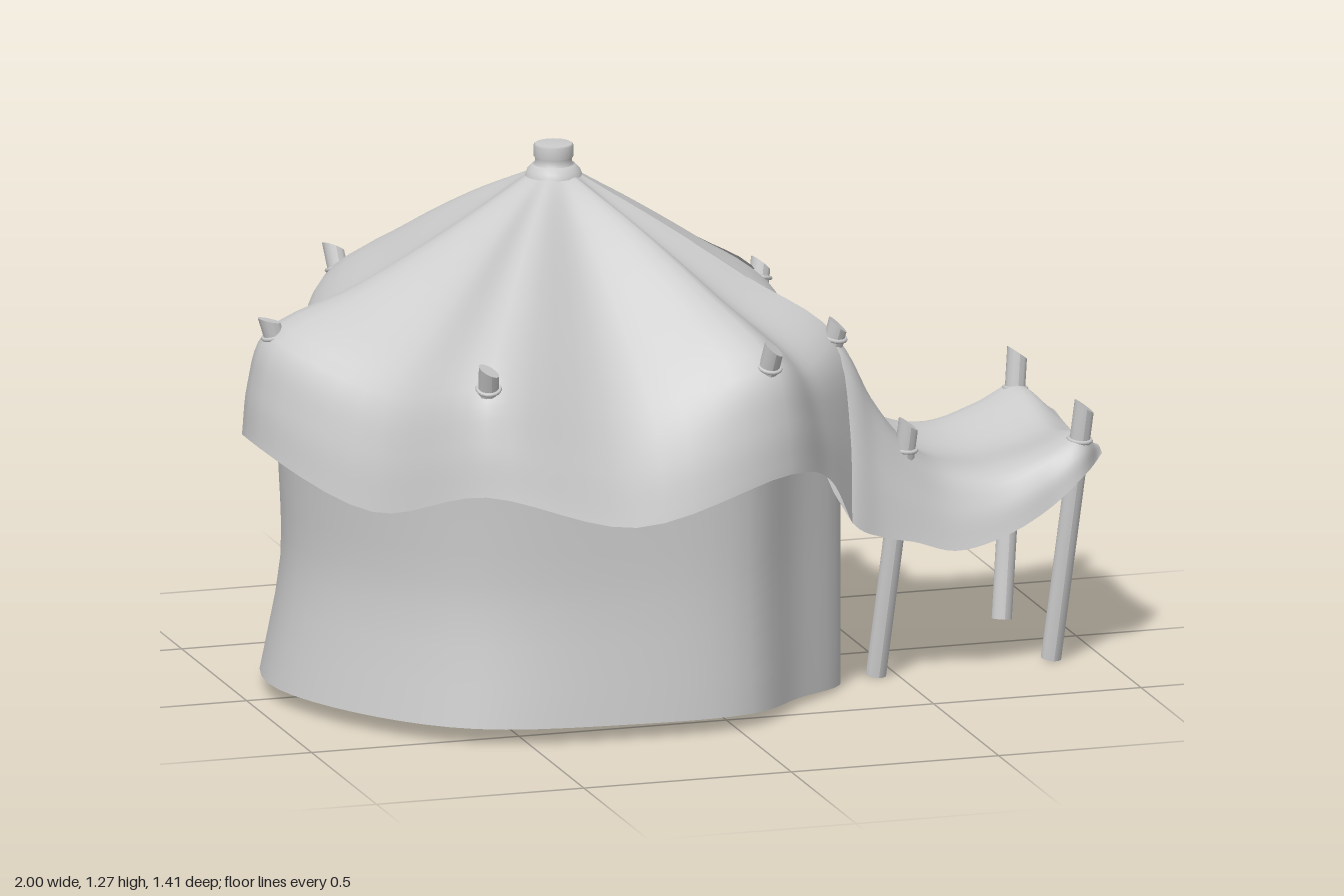
import * as THREE from 'three';

const V = (x, y, z) => new THREE.Vector3(x, y, z);
const flip = (p) => V(p.x, p.y, -p.z);
const cloth = new THREE.MeshStandardMaterial({ color: 0xcccccc, side: THREE.DoubleSide });
const CX = -0.26; // x of the tent's centre axis

// Smooth surface through rows of points; each row is a curve, and the rows are joined by curves
function loft(rows, stepU, stepV) {
  const nu = (rows.length - 1) * stepU;
  const nv = (rows[0].length - 1) * stepV;
  const lines = rows.map((r) => new THREE.CatmullRomCurve3(r).getPoints(nv));
  const pos = [], index = [];
  for (let j = 0; j <= nv; j++) {
    const across = new THREE.CatmullRomCurve3(lines.map((l) => l[j]));
    for (const p of across.getPoints(nu)) pos.push(p.x, p.y, p.z);
  }
  const w = nu + 1;
  for (let j = 0; j < nv; j++) {
    for (let i = 0; i < nu; i++) {
      const a = j * w + i, b = a + 1, c = a + w, d = c + 1;
      index.push(a, c, b, b, c, d);
    }
  }
  const g = new THREE.BufferGeometry();
  g.setAttribute('position', new THREE.Float32BufferAttribute(pos, 3));
  g.setIndex(index);
  g.computeVertexNormals();
  return g;
}

// Rows given from the back round one side, completed with the mirrored side
const bothSides = (rows) => [...rows.slice(1).reverse().map((r) => r.map(flip)), ...rows];

// Round pole between two points with a slanted cut at the top
function poleGeometry(from, to, radius) {
  const len = from.distanceTo(to);
  const g = new THREE.CylinderGeometry(radius, radius, len, 12);
  const p = g.attributes.position;
  for (let i = 0; i < p.count; i++) {
    if (p.getY(i) > 0) p.setY(i, p.getY(i) - 0.6 * (p.getX(i) + radius));
  }
  g.computeVertexNormals();
  g.applyQuaternion(new THREE.Quaternion().setFromUnitVectors(V(0, 1, 0), to.clone().sub(from).normalize()));
  const mid = from.clone().lerp(to, 0.5);
  return g.translate(mid.x, mid.y, mid.z);
}

export function createModel() {
  const group = new THREE.Group();
  const add = (name, geometry) => {
    const m = new THREE.Mesh(geometry, cloth);
    m.name = name;
    group.add(m);
    return m;
  };

  // Spokes from back to entrance: shoulder xyz, hem xyz, lift of the roof between apex and shoulder
  const spokes = [
    [-0.95, 0.86, 0, -1.0, 0.62, 0, -0.02],
    [-0.76, 0.78, 0.32, -0.815, 0.525, 0.385, 0],
    [-0.6, 0.85, 0.585, -0.625, 0.61, 0.65, 0.025],
    [-0.26, 0.76, 0.56, -0.28, 0.525, 0.705, 0.02],
    [0.09, 0.85, 0.585, 0.12, 0.6, 0.62, 0.025],
    [0.21, 0.8, 0.44, 0.26, 0.54, 0.47, 0],
    [0.33, 0.83, 0.29, 0.34, 0.41, 0.385, 0.01],
  ];
  const roofPoint = ([x, y, z, , , , lift], t) => {
    const p = V(CX, 1.2, 0).addScaledVector(V(x - CX, 0, z).normalize(), 0.05).lerp(V(x, y, z), t);
    p.y += lift * Math.sin(Math.PI * t);
    return p;
  };
  const spokeRow = (s) => {
    const hem = V(s[3], s[4], s[5]);
    const mid = roofPoint(s, 1).lerp(hem, 0.5).addScaledVector(V(s[0] - CX, 0, s[2]).normalize(), 0.014);
    return [...[0, 0.33, 0.66, 1].map((t) => roofPoint(s, t)), mid, hem];
  };
  const rows = spokes.map(spokeRow);
  add('roof', loft(bothSides(rows), 6, 5));

  // Entrance panel: from the apex down a shallow valley, its edges tucked under the roof
  const section = (half, centre) => [...half, centre, ...half.slice().reverse().map(flip)];
  const valley = [0.36, 0.72, 0, 0, 0, 0, -0.015];
  const panel = [0, 0.33, 0.66].map((t) => {
    const edge = roofPoint(spokes[6], t), beside = roofPoint(spokes[5], t);
    const tuck = (k) => edge.clone().lerp(beside, k).add(V(0, -0.1 * k, 0));
    return section([tuck(0.3), tuck(0.15), edge], roofPoint(valley, t));
  });
  const [shoulder, mid, hem] = rows[6].slice(3);
  panel.push(section([hem, mid, shoulder], roofPoint(valley, 1)));

  // Porch sections: x, centre y, shoulder z and y, hem z and y
  const porch = [
    [0.42, 0.64, 0.285, 0.67, 0.365, 0.365],
    [0.5, 0.55, 0.28, 0.56, 0.355, 0.345],
    [0.6, 0.48, 0.265, 0.485, 0.35, 0.315],
    [0.72, 0.455, 0.26, 0.465, 0.335, 0.335],
    [0.84, 0.47, 0.26, 0.5, 0.315, 0.39],
    [0.93, 0.5, 0.25, 0.54, 0.3, 0.46],
    [1.0, 0.475, 0.12, 0.485, 0.2, 0.48],
  ].map(([x, yc, zs, ys, zh, yh]) => section(
    [V(x, yh, zh), V(x, (ys + yh) / 2 + 0.01, (zs + zh) / 2 + 0.012), V(x, ys, zs)], V(x, yc, 0)));
  add('porchCanopy', loft([...panel, ...porch].reverse(), 5, 5));

  // Side wall, open at the entrance: x, z and bottom y of each fold; the waist fades towards the front
  const wall = [
    [-0.95, 0, 0.035], [-0.84, 0.32, 0.035], [-0.62, 0.55, 0.035], [-0.26, 0.61, 0.033],
    [0.04, 0.58, 0.028], [0.2, 0.42, 0.014], [0.34, 0.29, 0.003], [0.355, 0.17, 0.003],
  ].map(([x, z, y0]) =>
    [[0.66, 0.05], [0.5, 0.065], [0.3, 0.07], [y0, 0]].map(([y, waist]) => {
      const s = 1 - waist * Math.min(1, (0.36 - x) / 1.1);
      return V(CX + (x - CX) * s, y, z * s);
    }));
  add('wall', loft(bothSides(wall), 5, 3));

  // Roof pole ends and porch poles: bottom, top, height of the cloth ring
  const poles = [
    ['roofPoleEnd', V(0.31, 0.74, 0.27), V(0.335, 0.875, 0.3), 0.83],
    ['roofPoleEnd', V(0.07, 0.77, 0.55), V(0.085, 0.91, 0.605), 0.85],
    ['roofPoleEnd', V(-0.59, 0.77, 0.55), V(-0.605, 0.91, 0.605), 0.85],
    ['porchPole', V(0.45, 0, 0.215), V(0.505, 0.625, 0.295), 0.55],
    ['porchPole', V(0.88, 0, 0.19), V(0.94, 0.625, 0.26), 0.53],
  ];
  const all = [...poles, ...poles.map(([n, a, b, y]) => [n, flip(a), flip(b), y])];
  all.push(['roofPoleEnd', V(-0.91, 0.78, 0), V(-0.95, 0.91, 0), 0.86]);
  for (const [name, a, b, y] of all) {
    add(name, poleGeometry(a, b, 0.024));
    const ring = add('poleRing', new THREE.TorusGeometry(0.026, 0.005, 6, 16));
    const dir = b.clone().sub(a);
    ring.position.copy(a).addScaledVector(dir, (y - a.y) / dir.y);
    ring.quaternion.setFromUnitVectors(V(0, 0, 1), dir.normalize());
  }

  // Top collar and vent cap
  const profile = [[0.066, 1.19], [0.062, 1.203], [0.05, 1.216], [0.043, 1.216], [0.043, 1.232],
    [0.046, 1.235], [0.046, 1.261], [0.042, 1.265], [0, 1.265]];
  const cap = add('ventCap', new THREE.LatheGeometry(profile.map(([r, y]) => new THREE.Vector2(r, y)), 24));
  cap.position.x = CX;

  return group;
}
